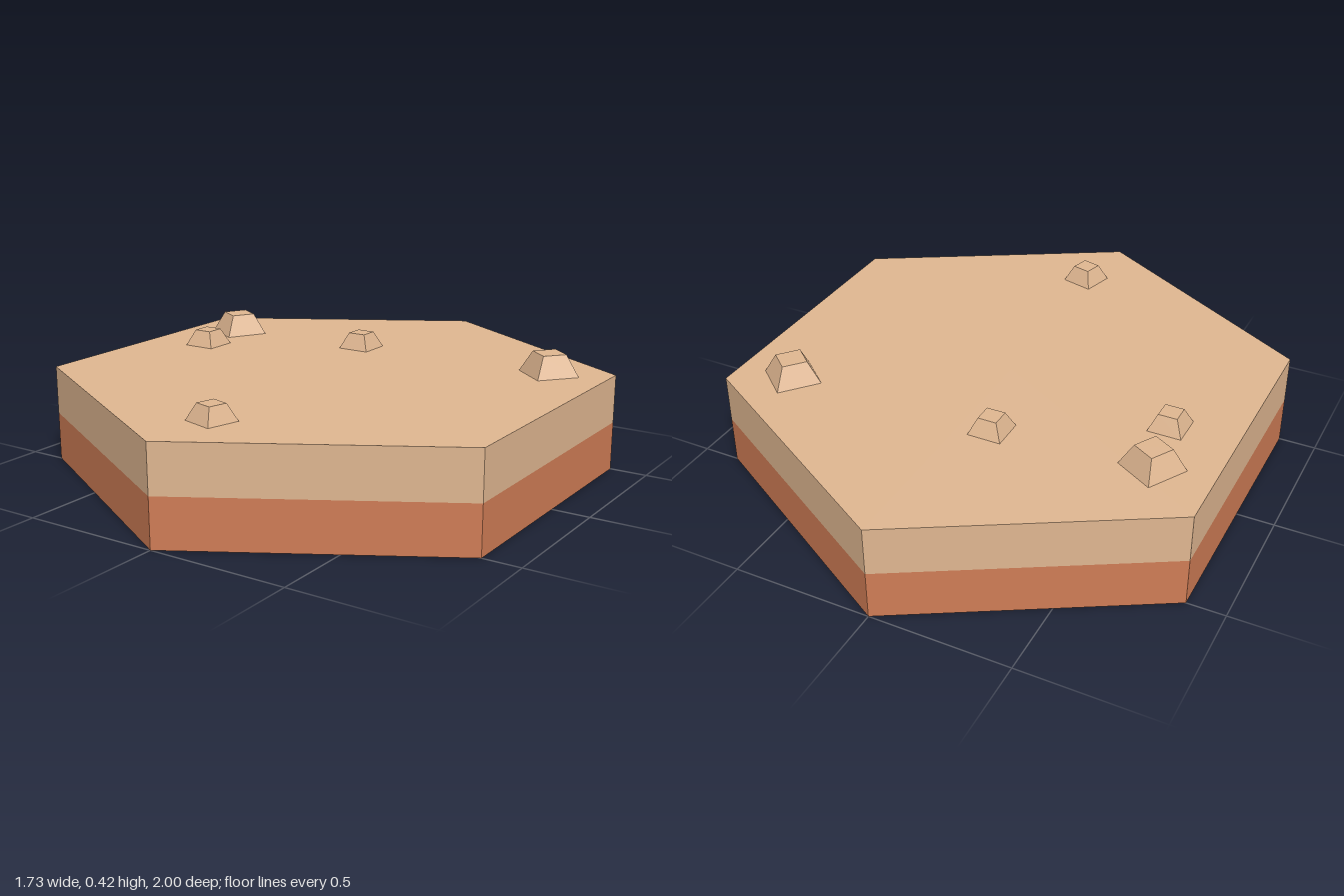
import * as THREE from 'three';

const SPLIT = 0.174, TOP = 0.347;

const sand = new THREE.MeshStandardMaterial({ color: 0xe0b791, flatShading: true });
const clay = new THREE.MeshStandardMaterial({ color: 0xd07d56, flatShading: true });

// Faceted solid turned from [radius, height] pairs, listed bottom to top
function faceted(name, profile, sides, material) {
  const points = profile.map(([r, y]) => new THREE.Vector2(r, y));
  const mesh = new THREE.Mesh(new THREE.LatheGeometry(points, sides), material);
  mesh.name = name;
  return mesh;
}

// Square rock with sloped sides, sitting on the ground
function rock(name, { x, z, angle, base, top, height }) {
  const half = Math.SQRT1_2;
  const mesh = faceted(name, [[base * half, 0], [top * half, height], [0, height]], 4, sand);
  mesh.position.set(x, TOP, z);
  mesh.rotation.y = THREE.MathUtils.degToRad(45 - angle);
  return mesh;
}

export function createModel() {
  const model = new THREE.Group();
  model.name = 'hexagonalGroundTile';

  // Two-layer hexagonal slab, corners pointing along z
  model.add(faceted('clayLayer', [[0, 0], [1, 0], [1, SPLIT]], 6, clay));
  model.add(faceted('sandLayer', [[1, SPLIT], [1, TOP], [0, TOP]], 6, sand));

  // Scattered rocks in two sizes
  const small = { base: 0.12, top: 0.067, height: 0.058 };
  const large = { base: 0.157, top: 0.088, height: 0.077 };
  const rocks = [
    { ...small, x: -0.11, z: -0.365, angle: 0 },
    { ...small, x: -0.63, z: -0.083, angle: 0 },
    { ...small, x: 0.03, z: 0.725, angle: 15 },
    { ...large, x: -0.66, z: -0.32, angle: 30 },
    { ...large, x: 0.66, z: -0.387, angle: 40 },
  ];
  rocks.forEach((r, i) => model.add(rock(`rock${i + 1}`, r)));

  return model;
}
